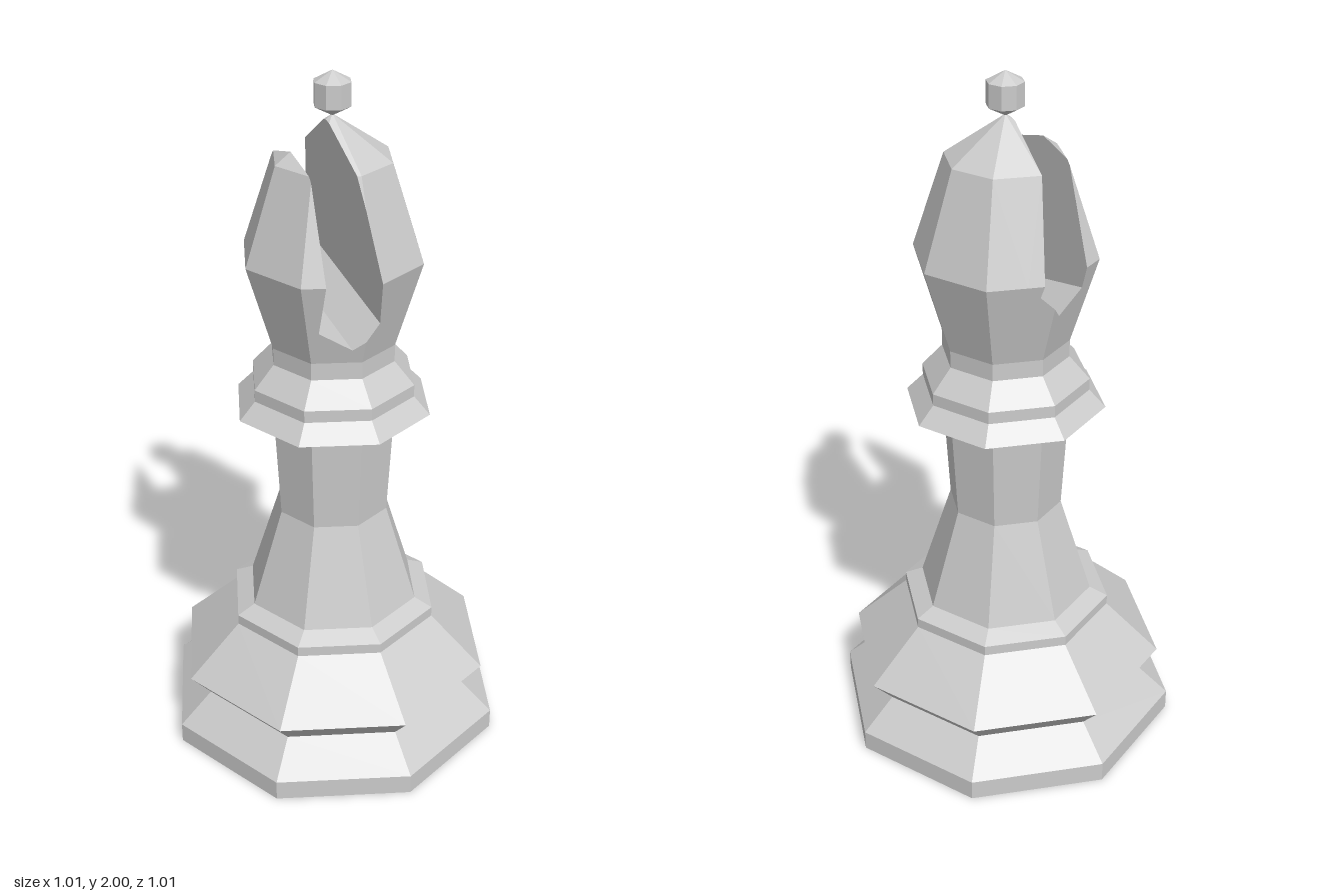
import * as THREE from 'three';

const SIDES = 8;
const material = new THREE.MeshStandardMaterial({ color: 0xcccccc, flatShading: true });

// Eight-sided turned part from [radius, height] pairs, bottom to top
function turned(name, profile) {
  const points = profile.map(([r, y]) => new THREE.Vector2(r, y));
  const mesh = new THREE.Mesh(new THREE.LatheGeometry(points, SIDES), material);
  mesh.name = name;
  return mesh;
}

const planeOf = ([a, b, c]) => new THREE.Plane().setFromCoplanarPoints(a, b, c);

// Part of a convex polygon on one side of a plane (side 1 = front, -1 = behind)
function clip(polygon, plane, side) {
  const kept = [];
  polygon.forEach((a, i) => {
    const b = polygon[(i + 1) % polygon.length];
    const da = plane.distanceToPoint(a) * side;
    const db = plane.distanceToPoint(b) * side;
    if (da >= 0) kept.push(a);
    if (da * db < 0) kept.push(a.clone().lerp(b, da / (da - db)));
  });
  return kept;
}

// Flat faces of the uncut head
function headFaces(profile) {
  const at = (i, [r, y]) => {
    const angle = (i / SIDES) * Math.PI * 2;
    return new THREE.Vector3(r * Math.sin(angle), y, r * Math.cos(angle));
  };
  const faces = [];
  for (let k = 0; k < profile.length - 1; k++) {
    for (let i = 0; i < SIDES; i++) {
      const face = [at(i, profile[k]), at(i + 1, profile[k]), at(i + 1, profile[k + 1])];
      if (profile[k + 1][0] > 0) face.push(at(i, profile[k + 1]));
      faces.push(face);
    }
  }
  return faces;
}

// Walls of the slot: a section run from front to back, rising towards the back
function slotWalls(section, slope) {
  const at = ([x, y], z) => new THREE.Vector3(x, y - slope * z, z);
  return section.slice(1).map((q, i) => {
    const p = section[i];
    return [at(p, 0.5), at(q, 0.5), at(q, -0.5), at(p, -0.5)];
  });
}

// Head with the slot cut out of it
function slottedHead() {
  const faces = headFaces([[0.18, 1.25], [0.255, 1.5], [0.165, 1.77], [0, 1.885]]);
  const walls = slotWalls(
    [[-0.12, 2.2], [-0.12, 1.39], [-0.03, 1.335], [0.043, 1.41], [-0.063, 2.2]], 0.24);
  const polygons = [];

  // Outer skin: keep what lies outside the slot
  const wallPlanes = walls.map(planeOf);
  for (const face of faces) {
    let rest = face;
    for (const plane of wallPlanes) {
      polygons.push(clip(rest, plane, -1));
      rest = clip(rest, plane, 1);
    }
  }

  // Slot walls: keep what lies inside the head
  const facePlanes = faces.map(planeOf);
  for (const wall of walls) {
    polygons.push(facePlanes.reduce((poly, plane) => clip(poly, plane, -1), wall));
  }

  const positions = [];
  for (const poly of polygons) {
    for (let i = 1; i < poly.length - 1; i++) {
      for (const v of [poly[0], poly[i], poly[i + 1]]) positions.push(v.x, v.y, v.z);
    }
  }
  const geometry = new THREE.BufferGeometry();
  geometry.setAttribute('position', new THREE.Float32BufferAttribute(positions, 3));
  geometry.computeVertexNormals();
  const mesh = new THREE.Mesh(geometry, material);
  mesh.name = 'slottedHead';
  return mesh;
}

export function createModel() {
  const model = new THREE.Group();
  model.name = 'chessBishop';
  model.add(
    turned('base', [[0, 0], [0.505, 0], [0.505, 0.06], [0.407, 0.15], [0.468, 0.22],
      [0.31, 0.37], [0.31, 0.4], [0.257, 0.425]]),
    turned('stem', [[0.257, 0.425], [0.164, 0.72], [0.18, 1.0]]),
    turned('collar', [[0.18, 1.0], [0.285, 1.05], [0.238, 1.1], [0.238, 1.135],
      [0.18, 1.2], [0.18, 1.25]]),
    slottedHead(),
    turned('finial', [[0, 1.88], [0.051, 1.908], [0.051, 1.972], [0, 2]]),
  );
  return model;
}
